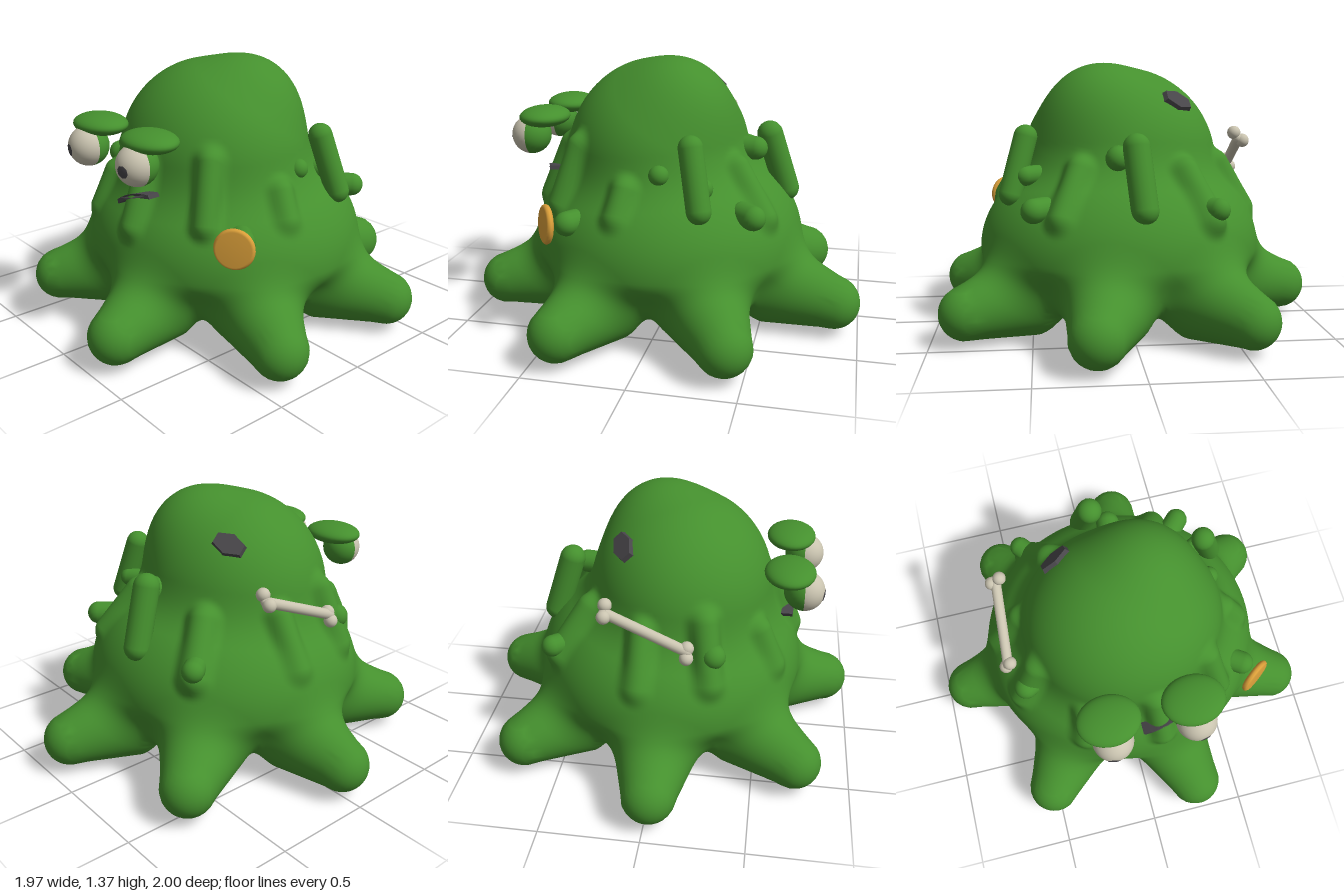
import * as THREE from 'three';

const V = (x, y, z) => new THREE.Vector3(x, y, z);
const mat = (name, color) => Object.assign(new THREE.MeshStandardMaterial({ color }), { name });

// ---- Blob field: soft union of ellipsoids, tentacles and drips ----
const smin = (a, b, k) => {
  const h = Math.max(k - Math.abs(a - b), 0) / k;
  return Math.min(a, b) - h * h * k * 0.25;
};
const ellipsoid = (p, c, rx, up, rz, down = up) => {
  const ry = p.y > c.y ? up : down;
  const x = (p.x - c.x) / rx, y = (p.y - c.y) / ry, z = (p.z - c.z) / rz;
  const k0 = Math.hypot(x, y, z), k1 = Math.hypot(x / rx, y / ry, z / rz);
  return k1 < 1e-6 ? -rx : k0 * (k0 - 1) / k1;
};
const taper = (p, a, b, ra, rb) => {
  const bx = b.x - a.x, by = b.y - a.y, bz = b.z - a.z;
  const px = p.x - a.x, py = p.y - a.y, pz = p.z - a.z;
  const t = Math.min(1, Math.max(0, (px * bx + py * by + pz * bz) / (bx * bx + by * by + bz * bz)));
  return Math.hypot(px - bx * t, py - by * t, pz - bz * t) - ra + (ra - rb) * t;
};

const BASE = V(0.035, 0.42, 0.01), HEAD = V(0.03, 0.85, 0.07), CROWN = V(0.14, 1.07, -0.04);
const CORE = V(0.03, 0.35, 0);
const tentacles = [
  [0.26, 0.86], [0.85, 0.37], [0.82, -0.41], [0.21, -0.87], [-0.53, -0.68], [-0.85, 0.02], [-0.51, 0.71],
].map(([x, z]) => ({ a: V(x * 0.65, 0.227, z * 0.65), b: V(x, 0.172, z) }));

const field = (p, drips) => {
  let d = smin(ellipsoid(p, HEAD, 0.515, 0.505, 0.472), ellipsoid(p, CROWN, 0.285, 0.3, 0.28), 0.08);
  d = smin(d, ellipsoid(p, BASE, 0.735, 0.53, 0.7, 0.28), 0.12);
  for (const t of tentacles) d = smin(d, taper(p, t.a, t.b, 0.22, 0.135), 0.13);
  for (const s of drips) d = smin(d, taper(p, s.a, s.b, s.r, s.r), 0.05);
  return d;
};
// Walks inward along a ray until it meets the blob
const cast = (from, dir, drips) => {
  const p = from.clone();
  for (let i = 0; i < 70; i++) {
    const d = field(p, drips);
    if (d < 0.0004) break;
    p.addScaledVector(dir, d * 0.85);
  }
  return p;
};
const normalAt = (p, drips) => {
  const e = 0.004, f = (x, y, z) => field(V(p.x + x, p.y + y, p.z + z), drips);
  return V(f(e, 0, 0) - f(-e, 0, 0), f(0, e, 0) - f(0, -e, 0), f(0, 0, e) - f(0, 0, -e)).normalize();
};
// Point on the blob's side at a height, in the direction of (x, z), pushed out by some amount
const onSide = (x, z, y, out = 0) => {
  const dir = V(x - 0.03, 0, z).normalize();
  const p = cast(V(0.03, y, 0).addScaledVector(dir, 1.3), dir.clone().negate(), []);
  return p.addScaledVector(dir, out);
};

export function createModel() {
  const group = new THREE.Group();
  const green = mat('slime green', 0x45902e);
  const ivory = mat('ivory', 0xcac4b0);
  const gold = mat('gold', 0xdca03a);
  const dark = mat('charcoal', 0x48464a);

  const add = (name, geo, material, pos, parent = group) => {
    const m = new THREE.Mesh(geo, material);
    m.name = name;
    if (pos) m.position.copy(pos);
    parent.add(m);
    return m;
  };
  const rod = (name, a, b, r, material, parent) => {
    const m = add(name, new THREE.CapsuleGeometry(r, a.distanceTo(b), 8, 18), material,
      a.clone().add(b).multiplyScalar(0.5), parent);
    m.quaternion.setFromUnitVectors(V(0, 1, 0), b.clone().sub(a).normalize());
    return m;
  };

  // Soft drips melted into the body: top x, z, y, bottom x, z, y, radius, bottom offset
  const drips = [
    [-0.29, 0.55, 0.78, -0.3, 0.6, 0.6, 0.06, -0.03],
    [0.1, 0.65, 0.9, 0.11, 0.65, 0.62, 0.06, -0.01],
    [0.42, 0.43, 0.96, 0.47, 0.5, 0.68, 0.058, 0],
    [0.65, 0.13, 0.8, 0.65, 0.14, 0.68, 0.055, -0.02],
    [0.34, -0.5, 0.86, 0.36, -0.53, 0.64, 0.06, -0.02],
    [-0.36, -0.49, 0.84, -0.38, -0.53, 0.62, 0.07, -0.01],
    [-0.58, -0.08, 0.86, -0.62, -0.07, 0.62, 0.06, -0.03],
    [-0.5, 0.26, 0.92, -0.57, 0.28, 0.64, 0.065, -0.02],
  ].map(([x0, z0, y0, x1, z1, y1, r, out]) => ({ a: onSide(x0, z0, y0, -0.005), b: onSide(x1, z1, y1, out), r }));

  // Body with tentacles: a sphere whose vertices are cast onto the blob
  const geo = new THREE.SphereGeometry(1, 240, 140);
  const pos = geo.attributes.position, nor = geo.attributes.normal, dir = V();
  for (let i = 0; i < pos.count; i++) {
    dir.fromBufferAttribute(pos, i).normalize();
    const p = cast(CORE.clone().addScaledVector(dir, 1.4), dir.clone().negate(), drips);
    const n = normalAt(p, drips);
    pos.setXYZ(i, p.x, Math.max(0, p.y), p.z);
    nor.setXYZ(i, n.x, n.y, n.z);
  }
  add('body', geo, green);

  // Prominent drips standing off the body
  rod('backDrip', V(0.0, 0.98, -0.505), V(-0.03, 0.69, -0.595), 0.066, green);
  rod('sideDrip', V(0.525, 1.01, -0.195), V(0.6, 0.73, -0.25), 0.06, green);

  // Small knobs: x, z direction, height, offset, radius
  [
    [0.09, -0.5, 0.92, 0.04, 0.06], [0.5, -0.5, 0.68, 0.05, 0.06], [-0.39, -0.53, 0.68, 0.07, 0.055],
    [-0.53, 0.29, 0.78, 0.05, 0.06], [0.6, -0.29, 0.82, 0.05, 0.05], [0.6, -0.05, 0.87, -0.015, 0.05],
    [0.6, 0.38, 0.63, 0.025, 0.06],
  ].forEach(([x, z, y, out, r]) => rod('knob', onSide(x, z, y, -0.03), onSide(x, z, y, out), r, green));

  // Eyes: ivory front half, green back half, pupil and heavy brow
  for (const [x, px] of [[-0.17, -0.19], [0.24, 0.262]]) {
    const eye = new THREE.Group();
    eye.name = 'eye';
    eye.position.set(x, 0.972, 0.695);
    group.add(eye);
    const half = () => new THREE.SphereGeometry(0.1, 32, 16, 0, Math.PI * 2, 0, Math.PI / 2);
    add('eyeball', half(), ivory, null, eye).rotation.x = Math.PI / 2;
    add('eyelid', half(), green, null, eye).rotation.x = -Math.PI / 2;
    const pupil = add('pupil', new THREE.SphereGeometry(0.102, 8, 4, 0, Math.PI * 2, 0, 0.31), dark, null, eye);
    pupil.quaternion.setFromUnitVectors(V(0, 1, 0), V(px - x, -0.01, 0.097).normalize());
    add('brow', new THREE.SphereGeometry(1, 32, 20), green, V(x - 0.003, 1.07, 0.62)).scale.set(0.155, 0.052, 0.125);
  }

  // Crooked mouth ribbon, bent back toward its raised corner
  const top = [[0, 0.73], [0.035, 0.751], [0.07, 0.77], [0.11, 0.786], [0.15, 0.797], [0.205, 0.8]];
  const mouth = new THREE.Shape([
    ...top.map(([x, y]) => new THREE.Vector2(x, y)),
    ...top.map(([x, y]) => new THREE.Vector2(x + 0.008, y - 0.02)).reverse(),
  ]);
  const ribbon = new THREE.ExtrudeGeometry(mouth, { depth: 0.06, bevelEnabled: false });
  const rp = ribbon.attributes.position;
  for (let i = 0; i < rp.count; i++) rp.setZ(i, rp.getZ(i) - 1.6 * (rp.getX(i) - 0.05) ** 2);
  ribbon.computeVertexNormals();
  add('mouth', ribbon, dark, V(0, 0, 0.598));

  // Coin with a rounded rim, stuck to the side
  const rim = [[0, -0.017], [0.082, -0.017], [0.092, -0.011], [0.097, 0], [0.092, 0.011], [0.082, 0.017], [0, 0.017]];
  const coin = add('coin', new THREE.LatheGeometry(rim.map(([x, y]) => new THREE.Vector2(x, y)), 32), gold,
    V(0.655, 0.635, 0.475));
  coin.quaternion.setFromUnitVectors(V(0, 1, 0), V(0.58, 0.08, 0.81).normalize());

  // Bone stuck to the other side
  const bone = new THREE.Group();
  bone.name = 'bone';
  group.add(bone);
  const b0 = V(-0.55, 0.995, -0.225), b1 = V(-0.585, 0.84, 0.165);
  rod('shaft', b0, b1, 0.026, ivory, bone);
  for (const [end, spread, lift] of [[b0, 0.022, 0.01], [b1, 0.012, -0.01]]) for (const s of [-1, 1])
    add('boneKnob', new THREE.SphereGeometry(0.034, 16, 12), ivory,
      end.clone().add(V(s * spread, lift + s * 0.02, 0)), bone);

  // Flat stone on top
  const seat = cast(V(-0.24, 1.6, -0.185), V(0, -1, 0), []);
  const stone = add('stone', new THREE.CylinderGeometry(0.068, 0.078, 0.035, 6).toNonIndexed(), dark, seat);
  stone.geometry.computeVertexNormals();
  stone.quaternion.setFromUnitVectors(V(0, 1, 0), normalAt(seat, []));
  stone.rotateY(0.3);
  stone.scale.set(1.25, 1, 0.8);

  return group;
}
